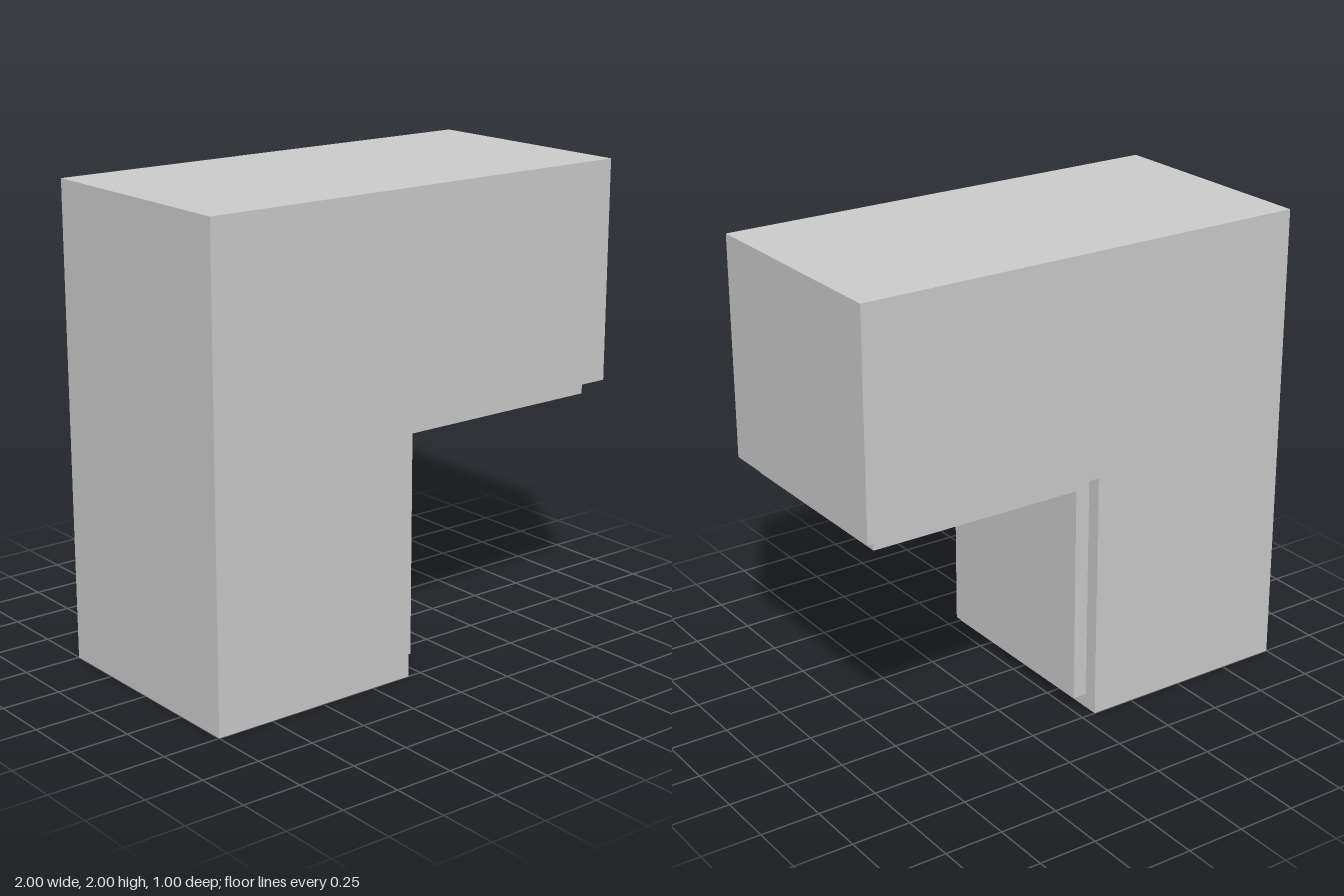
import * as THREE from 'three';

const material = new THREE.MeshStandardMaterial({ color: 0xcccccc, flatShading: true });

// Extrude an x-y outline to the given depth, centred on z = 0
function slab(name, points, depth) {
  const shape = new THREE.Shape(points.map(([x, y]) => new THREE.Vector2(x, y)));
  const geometry = new THREE.ExtrudeGeometry(shape, { depth, bevelEnabled: false });
  geometry.translate(0, 0, -depth / 2);
  const mesh = new THREE.Mesh(geometry, material);
  mesh.name = name;
  return mesh;
}

export function createModel() {
  const group = new THREE.Group();
  group.name = 'cornerBlock';
  const t = 0.0625; // thickness and edge inset of the inner lining

  // Main body: upright leg with an arm reaching to +x
  group.add(slab('body', [
    [-1, 0], [-t, 0], [-t, 1 + t], [1, 1 + t], [1, 2], [-1, 2],
  ], 1));

  // Thin lining in the inside corner, inset from the body's edges
  group.add(slab('innerLining', [
    [-t, t], [0, t], [0, 1], [1 - t, 1], [1 - t, 1 + t], [-t, 1 + t],
  ], 1 - 2 * t));

  return group;
}
